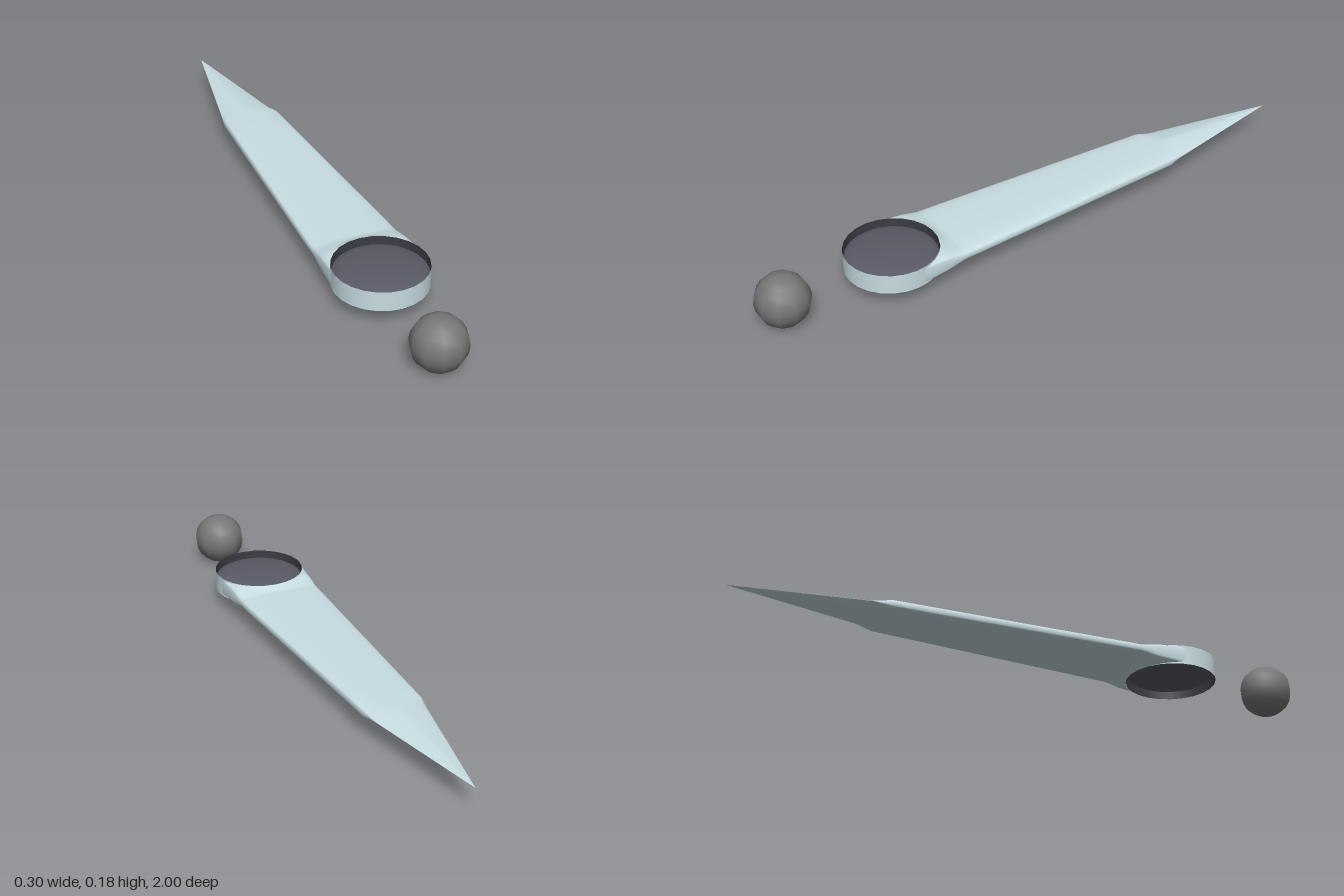
import * as THREE from 'three';

const MID = 0.09;        // height of the centre plane
const HUB_Z = 0.537;     // centre of the ring hub
const HUB_R = 0.152;
const HUB_H = 0.066;
const SIDES = 40;        // points around the blade section

// Section point at angle a; small exponents give a flat slab, 2 gives a diamond
function sectionPoint(a, halfWidth, halfThick, ex, ey) {
  const c = Math.cos(a), s = Math.sin(a);
  return [
    Math.sign(c) * Math.pow(Math.abs(c), ex) * halfWidth,
    Math.sign(s) * Math.pow(Math.abs(s), ey) * halfThick,
  ];
}

// Blade lofted from the point towards the hub; the last rings wrap round the hub
function bladeGeometry() {
  const rings = [];
  const straight = (z, w, t, ex = 0.65, ey = 0.5) => rings.push((a) => {
    const [x, y] = sectionPoint(a, w, t, ex, ey);
    return [x, MID + y, z];
  });
  // ridged point with sharp edges
  straight(-1, 0, 0, 1.6, 1.6);
  straight(-0.56, 0.088, 0.018, 1.6, 1.6);
  // long flat body
  for (let i = 0; i <= 6; i++) straight(-0.5 + 0.135 * i, 0.1 + 0.0068 * i, 0.02);
  // flare up to hub height, trimmed to the hub's curved back
  for (let i = 0; i <= 8; i++) {
    const k = i / 8;
    rings.push((a) => {
      const w = 0.142 + 0.008 * k;
      const [x, side] = sectionPoint(a, w, 1, 0.65, 0.5 - 0.3 * k);
      const arc = HUB_Z - Math.sqrt(HUB_R * HUB_R - x * x);
      const start = 0.345 + (arc - 0.385) * 0.1;
      const z = start + (arc - start) * k;
      const rise = Math.min(1, Math.max(k * k, (z - 0.355) / 0.06));
      return [x, MID + side * (0.02 + 0.013 * rise), z];
    });
  }
  const positions = [], index = [];
  rings.forEach((ring, r) => {
    for (let j = 0; j < SIDES; j++) {
      positions.push(...ring((j / SIDES) * Math.PI * 2));
      if (r === 0) continue;
      const n = (j + 1) % SIDES;
      const a = (r - 1) * SIDES + j, b = (r - 1) * SIDES + n;
      const c = r * SIDES + j, d = r * SIDES + n;
      index.push(a, b, d, a, d, c);
    }
  });
  const geometry = new THREE.BufferGeometry();
  geometry.setAttribute('position', new THREE.Float32BufferAttribute(positions, 3));
  geometry.setIndex(index);
  geometry.computeVertexNormals();
  return geometry;
}

export function createModel() {
  const model = new THREE.Group();
  const pale = new THREE.MeshStandardMaterial({ color: 0xc8dde2 });
  const paleOpen = new THREE.MeshStandardMaterial({ color: 0xc8dde2, side: THREE.DoubleSide });
  const dark = new THREE.MeshStandardMaterial({ color: 0x5a5a66 });
  const darkInside = new THREE.MeshStandardMaterial({ color: 0x3c3c44, side: THREE.BackSide });
  const grey = new THREE.MeshStandardMaterial({ color: 0x777777 });

  const add = (name, geometry, material, y = 0, z = 0) => {
    const mesh = new THREE.Mesh(geometry, material);
    mesh.name = name;
    mesh.position.set(0, y, z);
    model.add(mesh);
  };

  add('blade', bladeGeometry(), paleOpen);

  // Open ring hub holding a shallow lens
  const innerR = HUB_R - 0.001;
  add('hubRing', new THREE.CylinderGeometry(HUB_R, HUB_R, HUB_H, 24, 1, true), pale, MID, HUB_Z);
  add('hubInnerWall', new THREE.CylinderGeometry(innerR, innerR, HUB_H, 24, 1, true), darkInside, MID, HUB_Z);
  add('hubLens', new THREE.SphereGeometry(innerR, 24, 16).scale(1, 0.18, 1), dark, MID, HUB_Z);

  // Separate ball in front of the hub
  add('ball', new THREE.SphereGeometry(0.0885, 10, 10), grey, MID, 0.916);

  return model;
}
